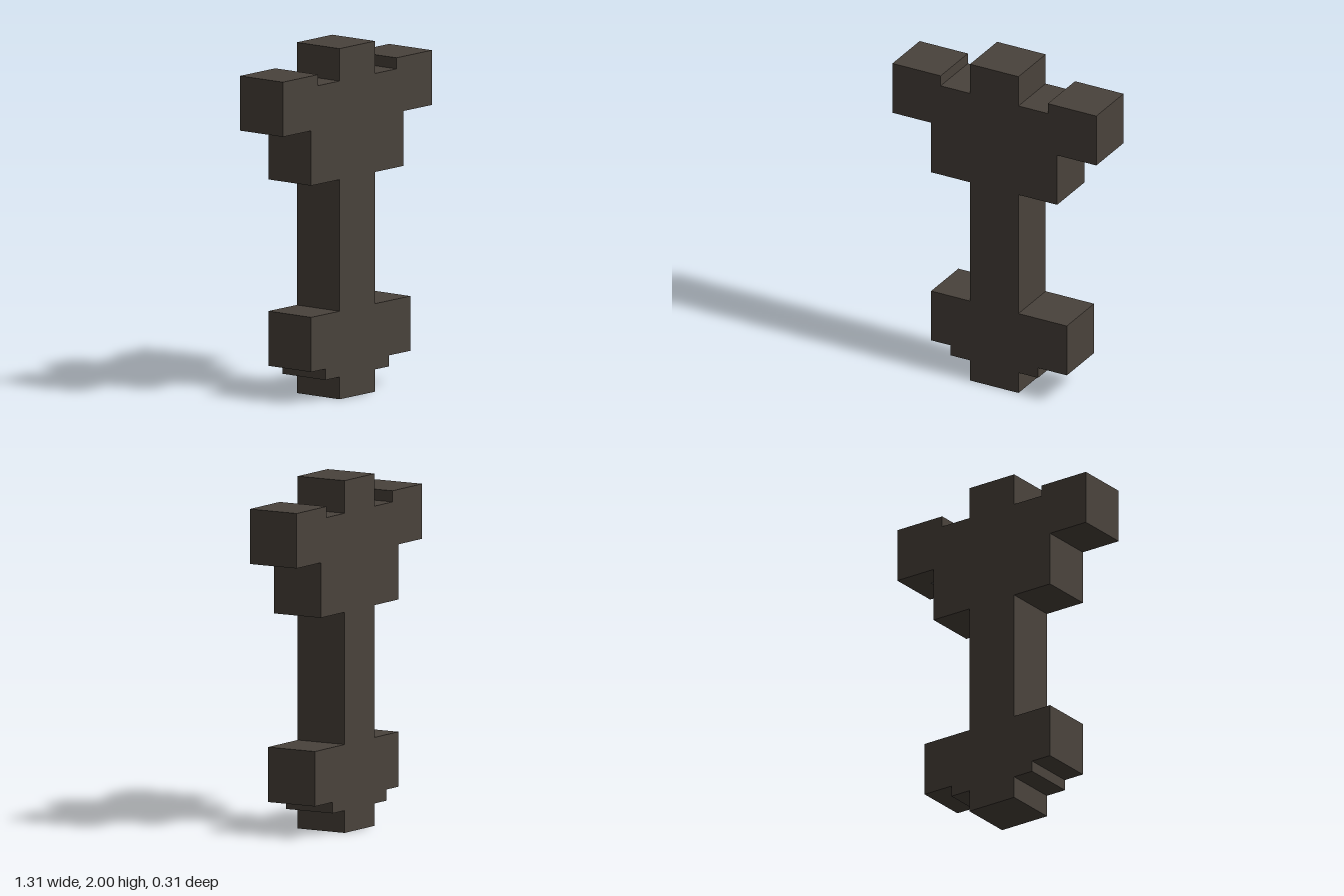
import * as THREE from 'three';

const DEPTH = 0.312;

export function createModel() {
  const group = new THREE.Group();
  const darkStone = new THREE.MeshStandardMaterial({ color: 0x49423b });
  const greyStud = new THREE.MeshStandardMaterial({ color: 0x77736e });

  // Stepped outline, clockwise from the bottom of the shaft
  const outline = [
    // foot and its left-hand steps
    [-0.157, 0], [-0.157, 0.127], [-0.282, 0.127], [-0.282, 0.19],
    [-0.407, 0.19], [-0.407, 0.502], [-0.157, 0.502],
    // shaft, shoulder and arm
    [-0.157, 1.253], [-0.407, 1.253], [-0.407, 1.566], [-0.656, 1.566],
    [-0.656, 1.878], [-0.346, 1.878], [-0.346, 1.815], [-0.157, 1.815],
    // top knob
    [-0.157, 2], [0.155, 2], [0.155, 1.815],
    // other arm, shoulder and shaft
    [0.344, 1.815], [0.344, 1.878], [0.656, 1.878], [0.656, 1.566],
    [0.404, 1.566], [0.404, 1.253], [0.155, 1.253],
    // longer foot block and its steps
    [0.155, 0.502], [0.466, 0.502], [0.466, 0.19],
    [0.28, 0.19], [0.28, 0.127], [0.155, 0.127], [0.155, 0],
  ];
  const shape = new THREE.Shape(outline.map(([x, y]) => new THREE.Vector2(x, y)));
  const geometry = new THREE.ExtrudeGeometry(shape, { depth: DEPTH, bevelEnabled: false });
  geometry.translate(0, 0, -DEPTH / 2);
  const body = new THREE.Mesh(geometry, darkStone);
  body.name = 'steppedBody';
  group.add(body);

  // Tiny stud set into the underside of one arm
  const stud = new THREE.Mesh(new THREE.BoxGeometry(0.04, 0.006, 0.04), greyStud);
  stud.name = 'armStud';
  stud.position.set(0.5, 1.565, 0);
  group.add(stud);

  return group;
}
